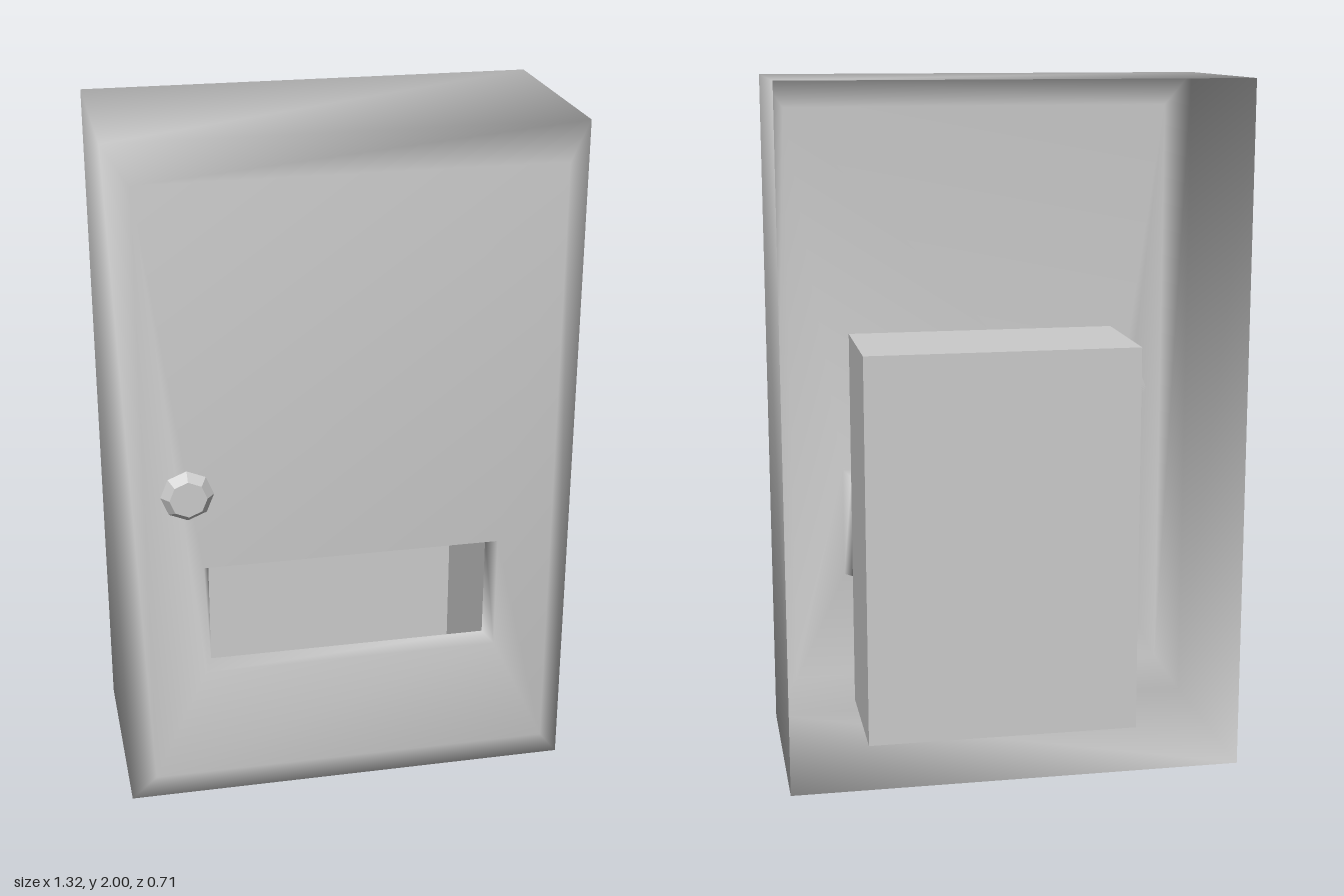
import * as THREE from 'three';

const material = () => new THREE.MeshStandardMaterial({ color: 0xcccccc, side: THREE.DoubleSide });

// Rectangular rings [halfWidth, bottom, top, z] joined by quads into one skin
function loftRings(rings) {
  const positions = [];
  const index = [];
  for (const [w, y0, y1, z] of rings) {
    positions.push(-w, y0, z, w, y0, z, w, y1, z, -w, y1, z);
  }
  for (let i = 0; i < rings.length - 1; i++) {
    for (let j = 0; j < 4; j++) {
      const a = i * 4 + j;
      const b = i * 4 + (j + 1) % 4;
      index.push(a, b, b + 4, a, b + 4, a + 4);
    }
  }
  const geometry = new THREE.BufferGeometry();
  geometry.setAttribute('position', new THREE.Float32BufferAttribute(positions, 3));
  geometry.setIndex(index);
  geometry.computeVertexNormals();
  return geometry;
}

export function createModel() {
  const model = new THREE.Group();
  const add = (name, geometry, mat = material()) => {
    const mesh = new THREE.Mesh(geometry, mat);
    mesh.name = name;
    model.add(mesh);
    return mesh;
  };

  // Open-backed housing: sides, bevel, front panel and window lip, smooth shaded
  add('housing', loftRings([
    [0.66, 0, 2, -0.353],
    [0.66, 0, 2, 0.275],
    [0.59, 0.1, 1.9, 0.325],
    [0.43, 0.44, 0.78, 0.325],
    [0.41, 0.45, 0.77, 0.265],
  ]));

  // Inner bin behind the window, open towards the front
  const bin = new THREE.BoxGeometry(0.82, 1.18, 0.39);
  const faces = Array.from(bin.index.array);
  faces.splice(24, 6); // drop the +z face
  bin.setIndex(faces);
  bin.clearGroups();
  add('innerBin', bin).position.set(0, 0.63, 0.07);

  // Eight-sided tapered lock knob
  const knobMaterial = material();
  knobMaterial.flatShading = true;
  const knob = add('lockKnob', new THREE.CylinderGeometry(0.053, 0.075, 0.028, 8), knobMaterial);
  knob.rotation.x = Math.PI / 2;
  knob.position.set(-0.47, 1.01, 0.339);

  return model;
}
